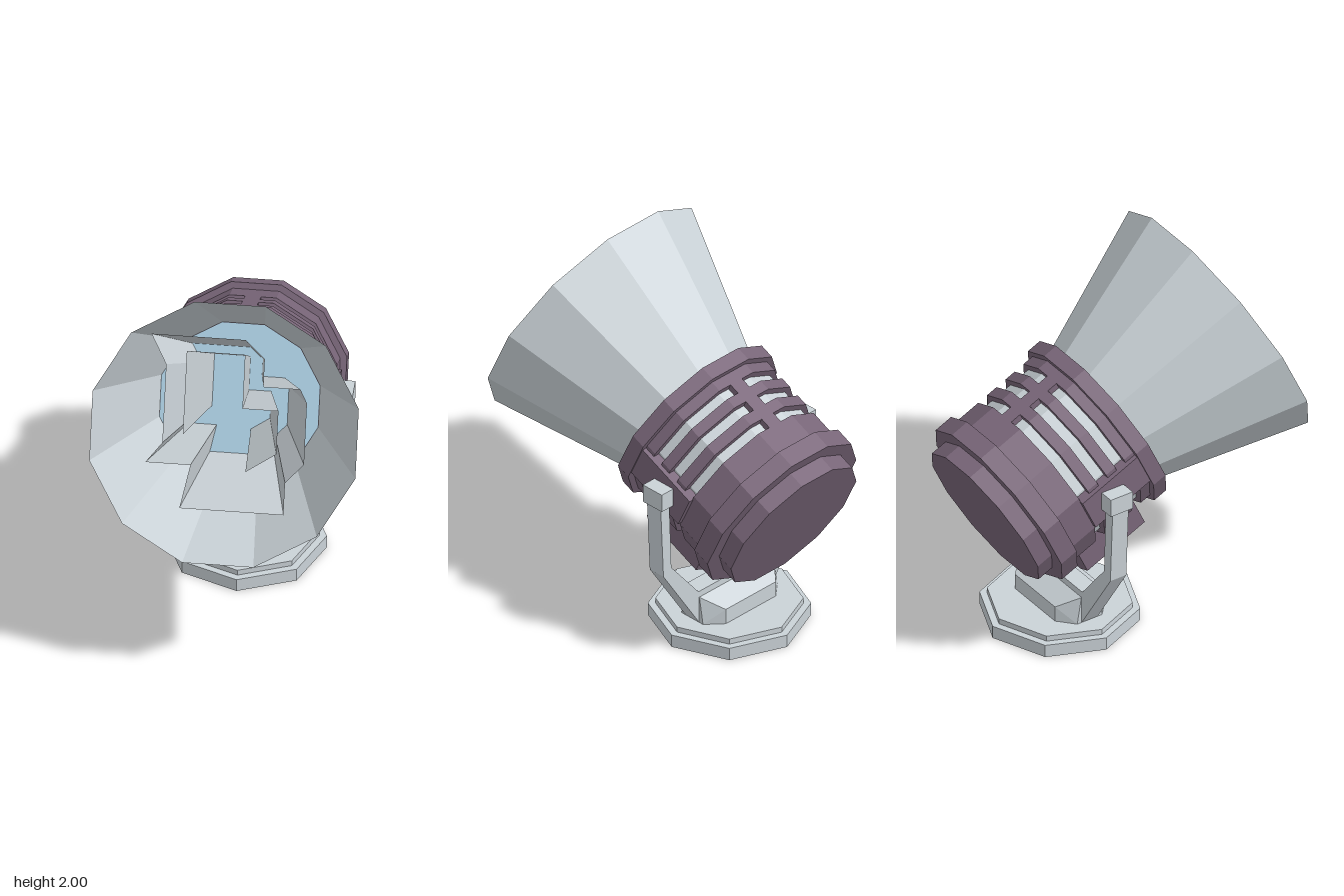
import * as THREE from 'three';
import { ConvexGeometry } from 'three/addons/geometries/ConvexGeometry.js';

const SIDES = 12;
const HALF = Math.PI / SIDES;

export function createModel() {
  const model = new THREE.Group();
  model.name = 'searchlight';

  const material = (name, color, side = THREE.FrontSide) => {
    const m = new THREE.MeshStandardMaterial({ color, side });
    m.name = name;
    return m;
  };
  const grey = material('pale grey metal', 0xcad2d7, THREE.DoubleSide);
  const purple = material('muted purple casing', 0x7a677a);
  const blue = material('pale blue glass', 0xacd0e4);

  const add = (parent, name, geometry, mat, x = 0, y = 0, z = 0) => {
    const mesh = new THREE.Mesh(geometry, mat);
    mesh.name = name;
    mesh.position.set(x, y, z);
    parent.add(mesh);
    return mesh;
  };

  const flat = (geometry) => {
    const g = geometry.index ? geometry.toNonIndexed() : geometry;
    g.computeVertexNormals();
    return g;
  };

  // Twelve-sided turned part along z; radii are measured to the flats
  const turned = (profile) => {
    const pts = profile.map(([r, t]) => new THREE.Vector2(r / Math.cos(HALF), t));
    return flat(new THREE.LatheGeometry(pts, SIDES, HALF).rotateX(Math.PI / 2));
  };
  const ring = (r0, r1, t0, t1) => turned([[r0, t0], [r1, t0], [r1, t1], [r0, t1]]);

  // Walls flaring along z from a scaled-down path to the full path
  const flaredWalls = (path, t0, t1, scale, closed) => {
    const pos = [];
    const count = closed ? path.length : path.length - 1;
    for (let i = 0; i < count; i++) {
      const [ax, ay] = path[i];
      const [bx, by] = path[(i + 1) % path.length];
      const a0 = [ax * scale, ay * scale, t0], b0 = [bx * scale, by * scale, t0];
      const a1 = [ax, ay, t1], b1 = [bx, by, t1];
      pos.push(...a0, ...b0, ...b1, ...a0, ...b1, ...a1);
    }
    const g = new THREE.BufferGeometry();
    g.setAttribute('position', new THREE.Float32BufferAttribute(pos, 3));
    g.computeVertexNormals();
    return g;
  };

  // ---------- Stand ----------
  const stand = new THREE.Group();
  stand.name = 'stand';
  stand.position.z = -0.31;
  model.add(stand);

  [['basePlate', 0.405, 0, 0.07], ['baseStep', 0.367, 0.07, 0.1]].forEach(([name, r, y0, y1]) =>
    add(stand, name, flat(new THREE.CylinderGeometry(r, r, y1 - y0, 8)), grey, 0, (y0 + y1) / 2, 0));

  // Pedestal with cut corners and sloping shoulders
  const corners = [];
  for (const sx of [-1, 1]) for (const sz of [-1, 1]) {
    for (const [x, y, z] of [[0.26, 0.1, 0.075], [0.175, 0.1, 0.15], [0.175, 0.185, 0.15], [0.26, 0.25, 0.05]]) {
      corners.push(new THREE.Vector3(sx * x, y, sz * z));
    }
  }
  add(stand, 'pedestal', flat(new ConvexGeometry(corners)), grey);

  // Bent yoke with a pivot block on each arm
  const outer = [[0.26, 0.1], [0.51, 0.49], [0.53, 0.92]];
  const inner = [[0.47, 0.92], [0.455, 0.52], [0.265, 0.285]];
  const half = [...outer, ...inner];
  const mirrored = half.map(([x, y]) => [-x, y]).reverse();
  const yokeShape = new THREE.Shape([...half, ...mirrored].map(([x, y]) => new THREE.Vector2(x, y)));
  add(stand, 'yoke', new THREE.ExtrudeGeometry(yokeShape, { depth: 0.096, bevelEnabled: false }), grey, 0, 0, -0.048);
  for (const s of [-1, 1]) {
    add(stand, s > 0 ? 'leftPivotBlock' : 'rightPivotBlock',
      new THREE.BoxGeometry(0.085, 0.1, 0.132), grey, s * 0.4975, 0.95, 0);
  }

  // ---------- Tilted lamp head ----------
  const head = new THREE.Group();
  head.name = 'lampHead';
  head.position.set(0, 0.957, -0.31);
  head.rotation.x = -THREE.MathUtils.degToRad(24.8);
  model.add(head);

  add(head, 'rearHousing', turned([
    [0, -0.496], [0.395, -0.496], [0.395, -0.405], [0.468, -0.405],
    [0.468, -0.303], [0.435, -0.303], [0.435, -0.152], [0.39, -0.152],
  ]), purple);
  add(head, 'innerDrum', turned([[0.4, -0.2], [0.4, 0.23]]), grey);

  // Vent bands and front flange
  [[-0.093, -0.03], [0.03, 0.09], [0.148, 0.215]].forEach(([a, b], i) =>
    add(head, 'ventBand' + (i + 1), ring(0.395, 0.435, a, b), purple));
  add(head, 'frontFlange', ring(0.385, 0.468, 0.208, 0.287), purple);

  // Ribs joining the bands: top strip and side plates
  add(head, 'topRib', new THREE.BoxGeometry(0.08, 0.05, 0.37), purple, 0, 0.41, 0.03);
  for (const s of [-1, 1]) {
    add(head, s > 0 ? 'leftSidePlate' : 'rightSidePlate',
      new THREE.BoxGeometry(0.065, 0.19, 0.37), purple, s * 0.4275, 0, 0.03);
  }

  // Control box under the housing
  const boxShape = new THREE.Shape([
    [-0.22, -0.36], [-0.22, -0.545], [-0.125, -0.6], [0.125, -0.6], [0.22, -0.545], [0.22, -0.36],
  ].map(([x, y]) => new THREE.Vector2(x, y)));
  add(head, 'controlBox', new THREE.ExtrudeGeometry(boxShape, { depth: 0.38, bevelEnabled: false }), purple, 0, 0, -0.235);

  // Lens and flared hood
  add(head, 'lens', new THREE.CircleGeometry(0.395 / Math.cos(HALF), SIDES, HALF), blue, 0, 0, 0.291);
  add(head, 'hood', turned([[0.396, 0.287], [0.664, 1.0545]]), grey);

  // Stepped flaring baffles inside the hood
  const outerBaffle = [
    [-0.4, 0.45], [0.07, 0.45], [0.17, 0.36], [0.17, 0.217], [0.355, 0.217], [0.39, 0.15],
    [0.39, -0.163], [0.3, -0.262], [0.3, -0.426], [-0.22, -0.426], [-0.175, -0.204], [-0.4, -0.204],
    [-0.32, -0.1], [-0.32, 0.3],
  ];
  const innerBaffle = [
    [-0.22, -0.05], [-0.22, 0.375], [0.07, 0.375], [0.07, 0.1], [0.25, 0.1], [0.25, -0.12], [0.1, -0.22],
  ];
  add(head, 'outerBaffle', flaredWalls(outerBaffle, 0.293, 0.89, 0.62, true), grey);
  add(head, 'innerBaffle', flaredWalls(innerBaffle, 0.293, 0.89, 0.62, false), grey);

  return model;
}
